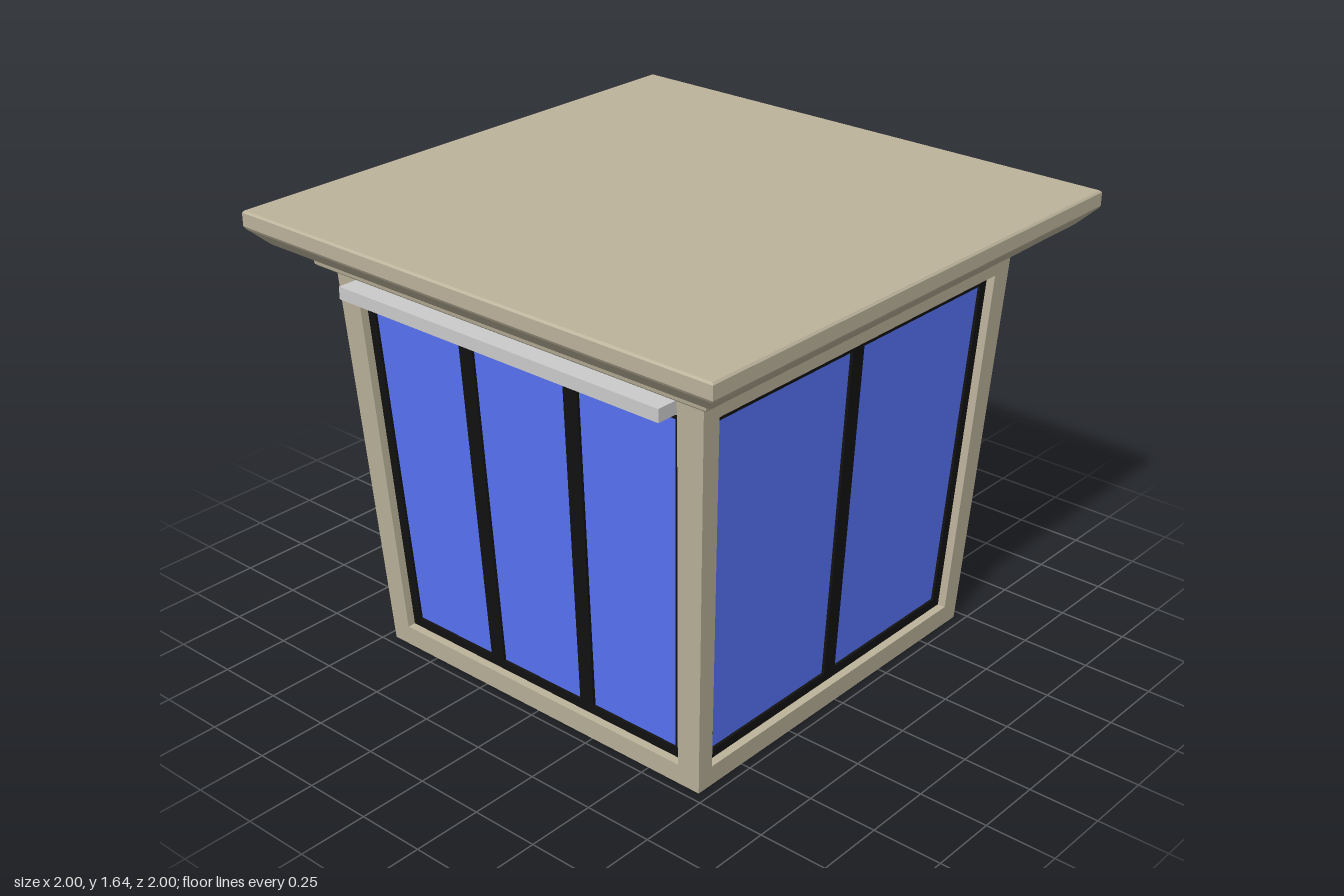
import * as THREE from 'three';

const paint = (color) => new THREE.MeshStandardMaterial({ color, flatShading: true });
const WALL_H = 1.45, THICK = 0.06, RECESS = 0.03;
const CENTRE = -0.005; // window offset along its wall

// Half width of the flaring body at height y
const half = (y) => 0.715 + 0.08 * y / 1.44;

// Symmetric quad outline: half widths w0 at y0 and w1 at y1
const quad = (l0, r0, y0, l1, r1, y1) =>
  [[l0, y0], [r0, y0], [r1, y1], [l1, y1]].map(([x, y]) => new THREE.Vector2(x, y));

// Extrude a flat shape inwards and lean it along the flared wall
function lean(shape, front, depth, mitre = false) {
  const geo = new THREE.ExtrudeGeometry(shape, { depth, bevelEnabled: false });
  const p = geo.attributes.position;
  for (let i = 0; i < p.count; i++) {
    const x = p.getX(i), y = p.getY(i), inner = p.getZ(i) < depth / 2;
    if (mitre && inner && Math.abs(Math.abs(x) - half(y)) < 0.002) p.setX(i, x - Math.sign(x) * depth);
    p.setZ(i, p.getZ(i) - depth - front + half(y));
  }
  geo.computeVertexNormals();
  return geo;
}

// Square moulding from a half-width / height profile
function moulding(profile) {
  const points = profile.map(([r, y]) => new THREE.Vector2(r * Math.SQRT2, y));
  return new THREE.LatheGeometry(points, 4, Math.PI / 4);
}

export function createModel() {
  const model = new THREE.Group();
  const stone = paint(0xbcb39b), black = paint(0x121212), blue = paint(0x5975f8), grey = paint(0xcccccc);
  const add = (parent, name, geo, mat) => {
    const mesh = new THREE.Mesh(geo, mat);
    mesh.name = name;
    parent.add(mesh);
    return mesh;
  };

  // One wall, with a recessed window of the given number of panes
  function side(name, angle, panes, w0, w1) {
    const group = new THREE.Group();
    group.name = name;
    group.rotation.y = angle;
    model.add(group);
    const b = half(0), t = half(WALL_H);
    const wall = new THREE.Shape(quad(-b, b, 0, -t, t, WALL_H));
    if (panes) {
      const outline = quad(CENTRE - w0, CENTRE + w0, 0.075, CENTRE - w1, CENTRE + w1, 1.365);
      wall.holes.push(new THREE.Path(outline));
      const frame = new THREE.Shape(outline);
      const rim = 0.035, bar = 0.06;
      const g0 = w0 - rim, g1 = w1 - rim;
      const s0 = (2 * g0 + bar) / panes, s1 = (2 * g1 + bar) / panes;
      for (let i = 0; i < panes; i++) {
        const l0 = CENTRE - g0 + i * s0, l1 = CENTRE - g1 + i * s1;
        frame.holes.push(new THREE.Path(quad(l0, l0 + s0 - bar, 0.11, l1, l1 + s1 - bar, 1.33)));
      }
      add(group, 'windowFrame', lean(frame, RECESS, THICK - RECESS), black);
      add(group, 'glass', lean(new THREE.Shape(outline), RECESS + 0.01, 0.01), blue);
    }
    add(group, 'wall', lean(wall, 0, THICK, true), stone);
    return group;
  }

  const front = side('frontSide', 0, 3, 0.635, 0.695);
  side('leftSide', Math.PI / 2, 2, 0.65, 0.715);
  side('backSide', Math.PI, 0);
  side('rightSide', -Math.PI / 2, 0);

  // Rail above the front window
  const rail = add(front, 'rail', new THREE.BoxGeometry(1.385, 0.045, 0.1), grey);
  rail.position.set(-0.003, 1.392, 0.822);

  // Floor between the walls
  const inner = 2 * (half(0) - THICK);
  add(model, 'floor', new THREE.BoxGeometry(inner, 0.04, inner), stone).position.y = 0.02;

  // Stepped roof with a chamfered overhang
  add(model, 'cornice', moulding([[0, 1.44], [0.838, 1.44], [0.844, 1.446], [0.856, 1.52]]), stone);
  add(model, 'roof', moulding([[0, 1.518], [0.94, 1.518], [0.994, 1.573], [1, 1.583],
    [1, 1.63], [0.994, 1.637], [0, 1.637]]), stone);
  return model;
}
